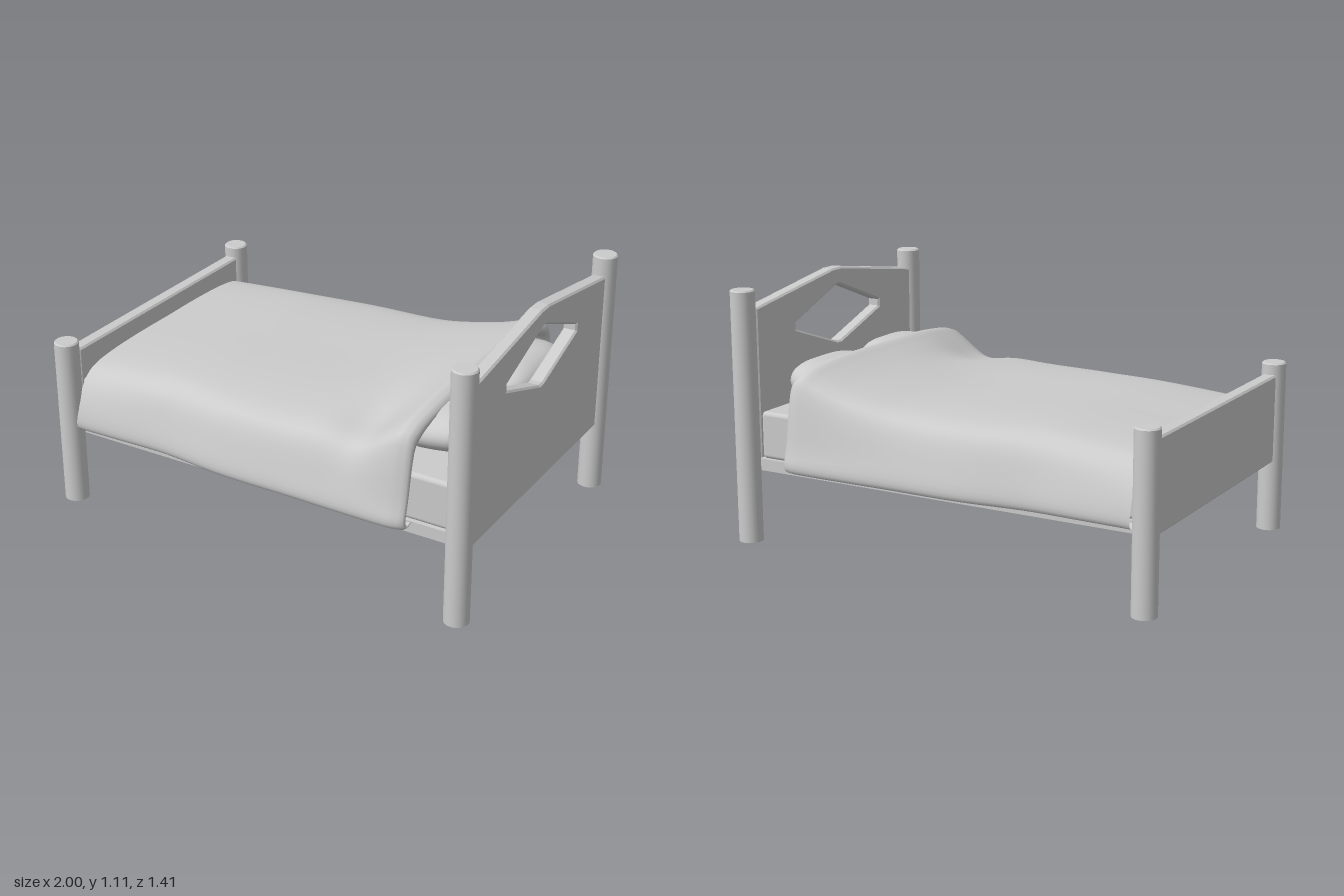
import * as THREE from 'three';
import { toCreasedNormals } from 'three/addons/utils/BufferGeometryUtils.js';
import { RoundedBoxGeometry } from 'three/addons/geometries/RoundedBoxGeometry.js';

const material = new THREE.MeshStandardMaterial({ color: 0xcccccc });
const clothMaterial = new THREE.MeshStandardMaterial({ color: 0xcccccc, side: THREE.DoubleSide });
const midZ = 0.012;

function addMesh(group, name, geometry, x = 0, y = 0, z = 0, mat = material) {
  const mesh = new THREE.Mesh(geometry, mat);
  mesh.name = name;
  mesh.position.set(x, y, z);
  group.add(mesh);
  return mesh;
}

// Round post with a softened top edge and a hollow foot
function postGeometry(height, r = 0.053) {
  const profile = [[r, 0], [r, height - 0.006], [r - 0.006, height], [0, height]];
  const lathe = new THREE.LatheGeometry(profile.map(p => new THREE.Vector2(...p)), 24);
  return toCreasedNormals(lathe, 0.6);
}

// Upright board across the bed; outline points are (-z, y)
function boardGeometry(outline, hole) {
  const shape = new THREE.Shape(outline.map(p => new THREE.Vector2(...p)));
  if (hole) shape.holes.push(new THREE.Path(hole.map(p => new THREE.Vector2(...p))));
  const bevel = 0.008;
  const geometry = new THREE.ExtrudeGeometry(shape, {
    depth: 0.046, bevelEnabled: true, bevelSegments: 1,
    bevelThickness: bevel, bevelSize: bevel, bevelOffset: -bevel,
  });
  return geometry.translate(0, 0, -0.023).rotateY(Math.PI / 2);
}

// Draped cover: cross-sections over the bed, lofted from foot to head
function blanketGeometry() {
  // x, top height, half width
  const stations = [
    [-0.9, 0.63, 0.677], [-0.68, 0.648, 0.672], [-0.45, 0.664, 0.668], [-0.15, 0.667, 0.697],
    [0.2, 0.677, 0.699], [0.36, 0.702, 0.702], [0.5, 0.735, 0.703], [0.6, 0.768, 0.703],
    [0.66, 0.79, 0.7], [0.695, 0.782, 0.692],
  ];
  const spine = new THREE.CatmullRomCurve3(stations.map(s => new THREE.Vector3(...s)));
  const rings = [];
  for (let i = 0; i <= 40; i++) rings.push([...spine.getPoint(i / 40).toArray(), 0]);
  // Rounded rim at the head, turned back under
  rings.push([0.71, 0.772, 0.69, 0.004], [0.716, 0.757, 0.687, 0.012],
    [0.71, 0.742, 0.685, 0.026], [0.68, 0.74, 0.685, 0.034], [0.62, 0.72, 0.685, 0.036]);

  const positions = [], index = [], n = 56;
  for (const [x, top, w, inset] of rings) {
    // The front corner sags just before the pillow
    const sag = 0.055 * Math.exp(-(((x - 0.46) / 0.13) ** 2));
    const half = side => {
      const t = top - (side > 0 ? sag : 0), e = w - inset;
      return [[e - 0.06, 0.362], [e - 0.015, 0.35 + inset * 0.2], [e, 0.385], [e - 0.02, 0.47],
        [e - 0.06, t - 0.085], [e - 0.12, t - 0.033], [0.45, t - 0.01], [0.25, top - sag * (side > 0 ? 0.4 : 0)]]
        .map(([z, y]) => new THREE.Vector2(side * z, y));
    };
    const section = new THREE.SplineCurve(
      [...half(1), new THREE.Vector2(0, top), ...half(-1).reverse()]);
    for (const p of section.getPoints(n)) positions.push(x, p.y, p.x);
  }
  const row = n + 1;
  for (let r = 0; r < rings.length - 1; r++) {
    for (let i = 0; i < n; i++) {
      const a = r * row + i, b = a + row;
      index.push(a, b, a + 1, b, b + 1, a + 1);
    }
  }
  const geometry = new THREE.BufferGeometry();
  geometry.setAttribute('position', new THREE.Float32BufferAttribute(positions, 3));
  geometry.setIndex(index);
  geometry.computeVertexNormals();
  return geometry;
}

// Plump cushion: a sphere squared off in plan and pinched at its rim
function pillowGeometry(hx, hy, hz) {
  const geometry = new THREE.SphereGeometry(1, 28, 18);
  const pos = geometry.attributes.position;
  const square = v => Math.sign(v) * Math.abs(v) ** 0.6;
  for (let i = 0; i < pos.count; i++) {
    const y = pos.getY(i);
    const r = Math.hypot(pos.getX(i), pos.getZ(i)) || 1;
    const s = r ** 0.7 / r;
    const x = square(pos.getX(i) / r) * r * s, z = square(pos.getZ(i) / r) * r * s;
    pos.setXYZ(i, x * hx, y * hy + 0.012 * x, z * hz * (1 - 0.06 * x));
  }
  geometry.computeVertexNormals();
  return geometry;
}

export function createModel() {
  const bed = new THREE.Group();
  bed.name = 'bed';

  // Four corner posts
  for (const side of [1, -1]) {
    const z = midZ + side * 0.641;
    addMesh(bed, 'footPost', postGeometry(0.755), -0.947, 0, z);
    addMesh(bed, 'headPost', postGeometry(1.105), 0.943, 0, z);
  }

  // Headboard with a peaked top and a diamond opening
  addMesh(bed, 'headboard', boardGeometry(
    [[-0.61, 0.313], [0.585, 0.313], [0.585, 1.02], [0.02, 1.107], [-0.045, 1.107], [-0.61, 1.02]],
    [[-0.34, 0.88], [-0.34, 0.91], [-0.03, 1.03], [-0.005, 1.03], [0.307, 0.91], [0.307, 0.88],
      [0, 0.772], [-0.03, 0.772]],
  ), 0.938);
  addMesh(bed, 'footboard', boardGeometry(
    [[-0.61, 0.313], [0.585, 0.313], [0.585, 0.705], [-0.61, 0.705]],
  ), -0.945);

  // Base and mattress
  addMesh(bed, 'bedBase', new THREE.BoxGeometry(1.86, 0.052, 1.216), 0, 0.338, midZ);
  addMesh(bed, 'mattress', new RoundedBoxGeometry(1.82, 0.21, 1.19, 3, 0.02), -0.005, 0.465, midZ);

  // Bedding
  addMesh(bed, 'blanket', blanketGeometry(), 0, 0, 0, clothMaterial);
  addMesh(bed, 'backPillow', pillowGeometry(0.165, 0.09, 0.255), 0.722, 0.675, -0.232);
  addMesh(bed, 'frontPillow', pillowGeometry(0.165, 0.09, 0.23), 0.722, 0.675, 0.28);

  return bed;
}
